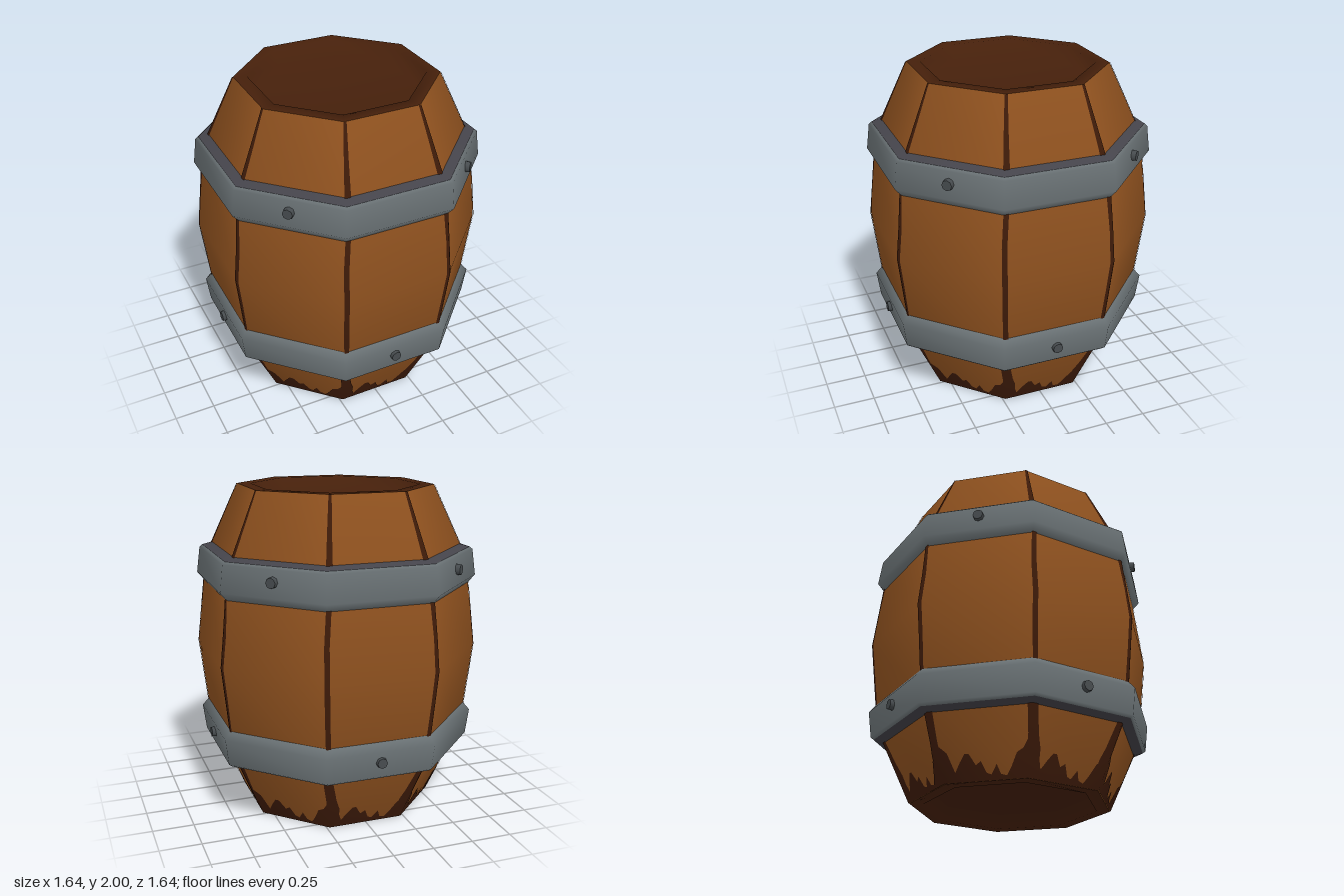
import * as THREE from 'three';

const SIDES = 8, HALF = Math.PI / SIDES;

const mat = (name, color) => {
  const m = new THREE.MeshStandardMaterial({ color });
  m.name = name;
  return m;
};

// Smooth octagonal shell from [apothem, y] points; flats face +-x and +-z
function shell(name, profile, material) {
  const pts = profile.map(([a, y]) => new THREE.Vector2(a / Math.cos(HALF), y));
  const mesh = new THREE.Mesh(new THREE.LatheGeometry(pts, SIDES, HALF), material);
  mesh.name = name;
  return mesh;
}

// Linear lookup in a table of rows [y, a, b, ...]
function lookup(table, y, col) {
  let i = 0;
  while (i < table.length - 2 && y > table[i + 1][0]) i++;
  const [p, q] = [table[i], table[i + 1]];
  return THREE.MathUtils.lerp(p[col], q[col], (y - p[0]) / (q[0] - p[0]));
}

// Barrel outline: height, apothem, upward part of the normal
const OUTLINE = [
  [0, 0.555, -0.42], [0.45, 0.75, -0.27], [1, 0.81, 0], [1.55, 0.75, 0.27], [2, 0.555, 0.42],
];

// Point and normal just above stave k; t runs from -1 to 1 across the stave
function onStave([k, t, y]) {
  const turn = k * 2 * HALF, a = lookup(OUTLINE, y, 1) + 0.004, up = lookup(OUTLINE, y, 2);
  const axis = new THREE.Vector3(0, 1, 0);
  const p = new THREE.Vector3(a * Math.tan(HALF) * t, y, a).applyAxisAngle(axis, turn);
  const side = Math.sqrt(1 - up * up), angle = turn + t * HALF;
  return { p, n: new THREE.Vector3(Math.sin(angle) * side, up, Math.cos(angle) * side) };
}

// Painted band laid on the staves between pairs of points
function paint(name, pairs, material) {
  const pos = [], nor = [], index = [];
  pairs.forEach((pair, i) => {
    for (const s of pair) {
      const { p, n } = onStave(s);
      pos.push(p.x, p.y, p.z);
      nor.push(n.x, n.y, n.z);
    }
    if (i) {
      const a = 2 * i - 2;
      index.push(a, a + 1, a + 3, a, a + 3, a + 2);
    }
  });
  const g = new THREE.BufferGeometry();
  g.setAttribute('position', new THREE.Float32BufferAttribute(pos, 3));
  g.setAttribute('normal', new THREE.Float32BufferAttribute(nor, 3));
  g.setIndex(index);
  const mesh = new THREE.Mesh(g, material);
  mesh.name = name;
  return mesh;
}

export function createModel() {
  const wood = mat('wood', 0x90521f);
  const inside = mat('inner wood', 0x46200b);
  const stain = mat('dark stain', 0x3e1b09);
  const iron = mat('iron', 0x6b7376);
  const ironEdge = mat('iron edge', 0x45444b);
  const rivetIron = mat('rivet iron', 0x474c4f);
  const barrel = new THREE.Group();
  barrel.name = 'barrel';
  const flip = (profile) => profile.map(([a, y]) => [a, 2 - y]).reverse();

  // Staves, and the shallow recessed ends with their rims
  const recess = [[0.555, 2], [0.48, 2], [0.45, 1.91], [0, 1.91]];
  barrel.add(shell('staves', OUTLINE.map(([y, a]) => [a, y]), wood));
  barrel.add(shell('topRecess', recess, inside), shell('bottomRecess', flip(recess), inside));

  // Seam widths: height, share of the straight stave, share of the diagonal stave
  const SEAM = [
    [0, 0.24, 0.08], [0.08, 0.25, 0.06], [0.15, 0.25, 0.05], [0.22, 0.18, 0.06], [0.36, 0.11, 0.1],
    [0.45, 0.09, 0.07], [0.6, 0.07, 0.03], [0.8, 0.06, 0.04], [1, 0.06, 0.04], [1.2, 0.05, 0.05],
    [1.4, 0.08, 0.02], [1.55, 0.09, 0.02], [1.64, 0.1, 0.03], [1.8, 0.08, 0.03], [2, 0.06, 0.02],
  ];
  // Stain drips across a stave: position, height
  const DRIPS = [
    [-1, 0.2], [-0.8, 0.15], [-0.7, 0.05], [-0.55, 0.1], [-0.42, 0.14], [-0.33, 0.14], [-0.2, 0.08],
    [-0.08, 0.1], [0.03, 0.04], [0.14, 0.03], [0.27, 0.08], [0.36, 0.03], [0.5, 0.02], [0.6, 0.06],
    [0.72, 0.13], [0.86, 0.15], [1, 0.22],
  ];
  for (let k = 0; k < SIDES; k++) {
    const here = k % 2 ? 2 : 1, next = 3 - here;
    // Each half of a seam lies on its own stave, meeting at the corner
    barrel.add(paint('seamLeftHalf', SEAM.map((s) => [[k, 1 - s[here], s[0]], [k, 1, s[0]]]), stain));
    barrel.add(paint('seamRightHalf',
      SEAM.map((s) => [[k + 1, -1, s[0]], [k + 1, -1 + s[next], s[0]]]), stain));
    barrel.add(paint('stainDrips', DRIPS.map(([t, h]) => [[k, t, h], [k, t, 0]]), stain));
  }

  // Two mirrored hoops, each with a dark edge facing the barrel end
  const band = [[0.765, 1.395], [0.805, 1.445], [0.785, 1.605], [0.768, 1.62]];
  const edge = [[0.768, 1.62], [0.705, 1.64]];
  barrel.add(shell('upperHoop', band, iron), shell('upperHoopEdge', edge, ironEdge));
  barrel.add(shell('lowerHoop', flip(band), iron), shell('lowerHoopEdge', flip(edge), ironEdge));

  // Rivets: diagonal staves on the upper hoop, straight staves on the lower
  const rivetShape = new THREE.CylinderGeometry(0.031, 0.035, 0.05, 8).rotateX(Math.PI / 2);
  for (let k = 0; k < SIDES; k++) {
    const rivet = new THREE.Mesh(rivetShape, rivetIron);
    const angle = k * 2 * HALF;
    rivet.name = k % 2 ? 'upperRivet' : 'lowerRivet';
    rivet.position.set(Math.sin(angle) * 0.795, k % 2 ? 1.535 : 0.49, Math.cos(angle) * 0.795);
    rivet.rotation.y = angle;
    barrel.add(rivet);
  }
  return barrel;
}
